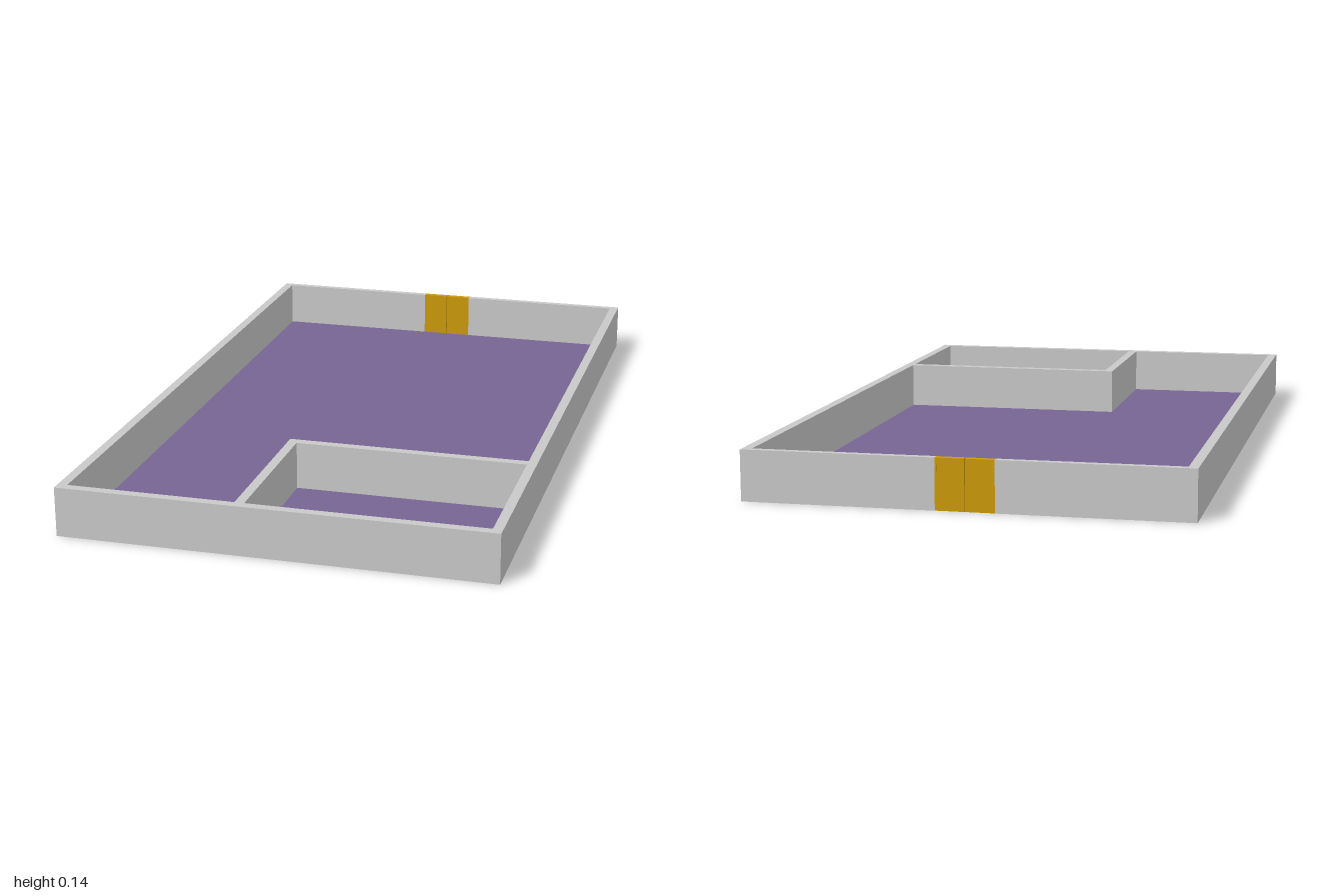
import * as THREE from 'three';

const H = 0.135;          // wall height
const X = 0.585, Z = 1;   // outer half sizes
const T = 0.026;          // wall thickness
const TB = 0.02;          // back wall thickness
const DOOR = [-0.08, 0.074];
const PX = -0.105, PZ = 0.5; // outer corner of the small room

export function createModel() {
  const wall = new THREE.MeshStandardMaterial({ color: 0xc9c9c9 });
  wall.name = 'wall grey';
  const floor = new THREE.MeshStandardMaterial({ color: 0x776592 });
  floor.name = 'floor purple';
  const gold = new THREE.MeshStandardMaterial({ color: 0xcc9a0a });
  gold.name = 'door gold';

  const model = new THREE.Group();
  model.name = 'floorPlan';

  // Box given by its limits on each axis
  const block = (name, mat, x0, x1, z0, z1, y0 = 0, y1 = H, parent = model) => {
    const mesh = new THREE.Mesh(new THREE.BoxGeometry(x1 - x0, y1 - y0, z1 - z0), mat);
    mesh.position.set((x0 + x1) / 2, (y0 + y1) / 2, (z0 + z1) / 2);
    mesh.name = name;
    parent.add(mesh);
  };

  // Outer walls, the back one with a door opening
  block('rightWall', wall, -X, -X + T, -Z, Z);
  block('leftWall', wall, X - T, X, -Z, Z);
  block('frontWall', wall, -X + T, X - T, Z - T, Z);
  block('backWallRight', wall, -X + T, DOOR[0], -Z, -Z + TB);
  block('backWallLeft', wall, DOOR[1], X - T, -Z, -Z + TB);

  // Partition walls of the small room
  block('partitionAcross', wall, PX, X - T, PZ, PZ + T);
  block('partitionAlong', wall, PX, PX + T, PZ + T, Z - T);

  // Floor panels set between the walls
  const F = 0.003;
  block('mainFloor', floor, -X + T, X - T, -Z + TB, PZ, 0, F);
  block('sideFloor', floor, -X + T, PX, PZ, Z - T, 0, F);
  block('roomFloor', floor, PX + T, X - T, PZ + T, Z - T, 0, F);

  // Double door with hinge plates on both faces
  const door = new THREE.Group();
  door.name = 'doubleDoor';
  model.add(door);
  const mid = (DOOR[0] + DOOR[1]) / 2;
  block('doorLeafRight', gold, DOOR[0], mid - 0.001, -Z + 0.001, -Z + TB - 0.001, 0, H, door);
  block('doorLeafLeft', gold, mid + 0.001, DOOR[1], -Z + 0.001, -Z + TB - 0.001, 0, H, door);
  for (const x of [DOOR[0], DOOR[1] - 0.006]) {
    for (const y of [0.02, 0.06, 0.1]) {
      block('hinge', gold, x, x + 0.006, -Z, -Z + TB, y, y + 0.018, door);
    }
  }
  return model;
}
